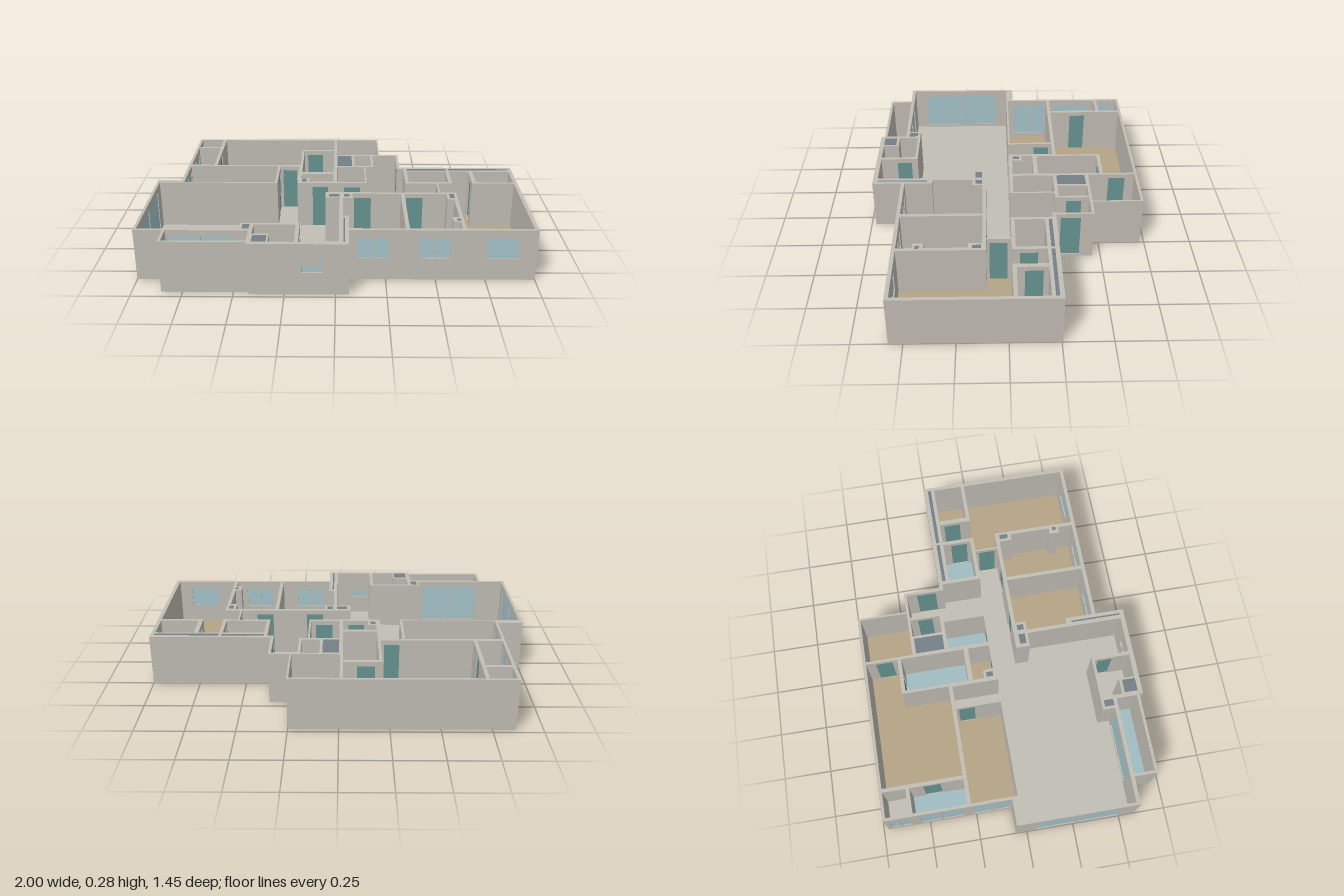
import * as THREE from 'three';

const material = (name, color) => {
  const m = new THREE.MeshStandardMaterial({ color });
  m.name = name;
  return m;
};

const SLAB = 0.015, TOP = 0.275;

// Plan rectangles are [x0, z0, x1, z1]
const footprint = [
  [-0.865, -0.725, 0.25, 0.57], [0.25, -0.455, 0.36, 0.57], [0.36, -0.255, 1, 0.57],
  [-1, -0.06, -0.425, 0.58], [-0.855, 0.58, -0.425, 0.705], [-0.425, 0.57, 0.065, 0.725],
];
const livingAndHall = [
  [-0.985, -0.02, -0.48, 0.56], [-0.48, -0.02, 0.015, 0.495], [-0.18, 0.495, 0.015, 0.7],
  [-0.33, -0.27, -0.22, -0.02], [0, -0.02, 0.55, 0.105], [0.165, -0.235, 0.38, -0.02],
  [0.165, -0.26, 0.345, -0.02], [0.21, -0.44, 0.345, -0.02],
];
const plainRooms = [
  [-0.85, -0.71, -0.72, -0.59], [0.1, -0.44, 0.195, -0.28], [-0.41, 0.51, -0.2, 0.7],
];
const woodRooms = [
  [-0.7, -0.71, -0.215, -0.29], [-0.215, -0.71, -0.02, -0.54], [-0.005, -0.71, 0.24, -0.455],
  [-0.85, -0.27, -0.345, -0.03], [-0.2, -0.155, -0.02, -0.04],
  [0.035, 0.125, 0.345, 0.4], [0.065, 0.4, 0.345, 0.55], [0.365, 0.125, 0.625, 0.55],
  [0.56, -0.02, 0.98, 0.105], [0.645, 0.105, 0.98, 0.55],
  [0.64, -0.195, 0.75, -0.02], [0.775, -0.195, 0.98, -0.04],
];
const tiledRooms = [
  [-0.85, -0.57, -0.72, -0.29], [-0.2, -0.52, -0.02, -0.18], [0, -0.26, 0.155, -0.04],
  [0.4, -0.195, 0.62, -0.04], [-0.84, 0.58, -0.43, 0.69],
];
// Solid casings around the service shafts
const casings = [
  [-0.06, 0.105, 0.085, 0.18], [0.59, 0.125, 0.645, 0.195], [0.59, 0.415, 0.645, 0.47],
  [-0.2, -0.095, -0.155, -0.04], [-0.41, 0.615, -0.325, 0.7],
];
const shafts = [
  [0, -0.435, 0.085, -0.28], [0.4, -0.232, 0.625, -0.214], [0.64, -0.232, 0.98, -0.214],
  [-0.04, 0.13, 0.015, 0.165], [0.04, 0.13, 0.07, 0.165], [0.605, 0.13, 0.63, 0.175],
  [0.61, 0.435, 0.63, 0.455], [-0.195, -0.08, -0.17, -0.045], [-0.405, 0.63, -0.335, 0.7],
  [-0.465, 0.51, -0.43, 0.56], [0.037, 0.43, 0.045, 0.7],
];

// Openings: [axis the wall faces, wall position, from, to, y0, y1, panes]
const windows = [
  ['z', 0.56, 0.105, 0.26, 0.12, 0.23, 2], ['z', 0.56, 0.415, 0.57, 0.12, 0.23, 2],
  ['z', 0.56, 0.75, 0.91, 0.12, 0.23, 1], ['z', 0.7125, -0.165, -0.065, 0.12, 0.16, 2],
  ['z', 0.57, -0.83, -0.51, 0.03, 0.24, 2], ['x', -0.9925, 0.05, 0.49, 0.03, 0.24, 2],
  ['x', -0.8575, -0.7, -0.6, 0.04, 0.24, 2], ['x', -0.8575, -0.54, -0.32, 0.04, 0.24, 2],
  ['x', -0.8575, -0.26, -0.07, 0.04, 0.24, 2],
];
const doors = [
  ['x', 0.3525, -0.385, -0.28], ['z', 0.115, 0.095, 0.185], ['z', 0.115, 0.375, 0.465],
  ['z', -0.28, -0.315, -0.235], ['z', -0.53, -0.18, -0.09], ['x', -0.3375, -0.255, -0.17],
  ['x', 0.63, -0.15, -0.06], ['z', -0.03, 0.04, 0.13], ['z', -0.03, -0.135, -0.05],
  ['x', 0.555, 0, 0.09], ['x', 0.7625, -0.17, -0.08], ['x', 0.2025, -0.4, -0.32],
  ['x', -0.19, 0.53, 0.61], ['x', -0.0125, -0.66, -0.57], ['x', -0.71, -0.5, -0.41],
].map((d) => [...d, SLAB, 0.25, 1]);

// Split an opening into its separate panes
const splitPanes = ([axis, pos, from, to, y0, y1, n]) => {
  const gap = 0.008, w = (to - from - gap * (n - 1)) / n;
  return Array.from({ length: n }, (_, i) => {
    const a = from + i * (w + gap);
    return [axis, pos, a, a + w, y0, y1];
  });
};
// Box [x0, y0, z0, x1, y1, z1] for a pane of the given half depth
const paneBox = ([axis, pos, a, b, y0, y1], half) => axis === 'x'
  ? [pos - half, y0, a, pos + half, y1, b] : [a, y0, pos - half, b, y1, pos + half];
const raise = (rects, y0, y1) => rects.map(([x0, z0, x1, z1]) => [x0, y0, z0, x1, y1, z1]);

// Add and cut boxes in order, keeping only the outer faces of the result
function carve(steps) {
  const ops = steps.flatMap(([fill, boxes]) => boxes.map((b) => [fill, b]));
  const cuts = [0, 1, 2].map((a) => [...new Set(
    ops.flatMap(([, b]) => [b[a], b[a + 3]]).map((v) => Math.round(v * 1e4) / 1e4),
  )].sort((p, q) => p - q));
  const [nx, ny, nz] = cuts.map((c) => c.length - 1);
  const cells = new Uint8Array(nx * ny * nz);
  const index = (i, j, k) => (i * ny + j) * nz + k;
  const each = (fn) => {
    for (let i = 0; i < nx; i++) for (let j = 0; j < ny; j++) for (let k = 0; k < nz; k++) fn([i, j, k]);
  };
  each((c) => {
    const mid = c.map((n, a) => (cuts[a][n] + cuts[a][n + 1]) / 2);
    for (const [fill, b] of ops) {
      if (mid.every((m, a) => m > b[a] && m < b[a + 3])) cells[index(...c)] = fill;
    }
  });
  const size = [nx, ny, nz], positions = [];
  each((c) => {
    if (!cells[index(...c)]) return;
    for (let a = 0; a < 3; a++) for (const side of [0, 1]) {
      const next = [...c];
      next[a] += side ? 1 : -1;
      if (next[a] >= 0 && next[a] < size[a] && cells[index(...next)]) continue;
      const u = (a + 1) % 3, v = (a + 2) % 3;
      const corner = (du, dv) => {
        const p = [];
        p[a] = cuts[a][c[a] + side];
        p[u] = cuts[u][c[u] + du];
        p[v] = cuts[v][c[v] + dv];
        return p;
      };
      const q = [corner(0, 0), corner(1, 0), corner(1, 1), corner(0, 1)];
      if (!side) q.reverse();
      for (const n of [0, 1, 2, 0, 2, 3]) positions.push(...q[n]);
    }
  });
  const geometry = new THREE.BufferGeometry();
  geometry.setAttribute('position', new THREE.Float32BufferAttribute(positions, 3));
  geometry.computeVertexNormals();
  return geometry;
}

export function createModel() {
  const model = new THREE.Group();
  model.name = 'floorPlanHouse';
  const plaster = material('plaster', 0xc2beb5);
  const wood = material('woodFloor', 0xb5a486);
  const tile = material('tileFloor', 0xa0bcc3);
  const glass = material('windowGlass', 0xa5c5cc);
  const doorPaint = material('doorTeal', 0x679593);
  const shaftGrey = material('shaftGrey', 0x747f87);

  const add = (name, geometry, mat) => {
    const mesh = new THREE.Mesh(geometry, mat);
    mesh.name = name;
    model.add(mesh);
  };
  const addBoxes = (name, boxes, mat) => boxes.forEach(([x0, y0, z0, x1, y1, z1]) => {
    const g = new THREE.BoxGeometry(x1 - x0, y1 - y0, z1 - z0);
    add(name, g.translate((x0 + x1) / 2, (y0 + y1) / 2, (z0 + z1) / 2), mat);
  });

  // Base slab and walls with real door and window openings
  const windowPanes = windows.flatMap(splitPanes), doorPanes = doors.flatMap(splitPanes);
  const rooms = [...livingAndHall, ...plainRooms, ...woodRooms, ...tiledRooms];
  add('baseSlab', carve([[1, raise(footprint, 0, SLAB)]]), plaster);
  add('walls', carve([
    [1, raise(footprint, SLAB, TOP)],
    [0, raise(rooms, SLAB, TOP)],
    [1, raise(casings, SLAB, TOP)],
    [0, [...windowPanes, ...doorPanes].map((p) => paneBox(p, 0.02))],
  ]), plaster);

  // Room floors
  addBoxes('woodFloor', raise(woodRooms, SLAB, SLAB + 0.002), wood);
  addBoxes('tileFloor', raise(tiledRooms, SLAB, SLAB + 0.002), tile);

  // Glass, doors and shaft covers
  addBoxes('windowPane', windowPanes.map((p) => paneBox(p, 0.003)), glass);
  addBoxes('door', doorPanes.map((p) => paneBox(p, 0.004)), doorPaint);
  addBoxes('shaftCover', raise(shafts, TOP - 0.003, TOP + 0.001), shaftGrey);
  return model;
}
